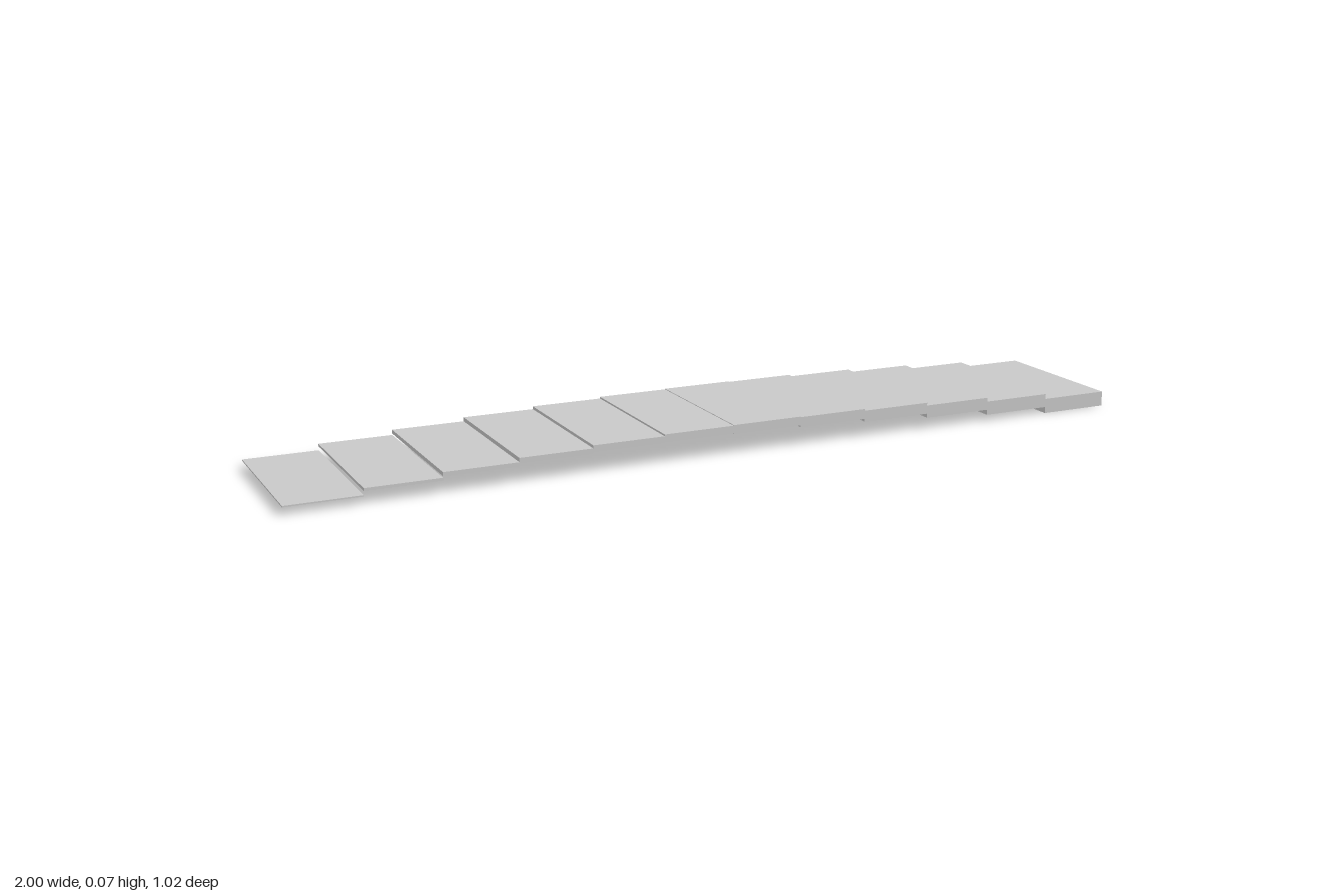
import * as THREE from 'three';

const COUNT = 12, LENGTH = 1.994, WIDTH = 0.362;

// Box with no underside: a deck with four thin skirts
function openBox(w, h, d) {
  const geo = new THREE.BoxGeometry(w, h, d);
  const index = Array.from(geo.index.array);
  index.splice(18, 6); // drop the -y face
  geo.setIndex(index);
  geo.clearGroups();
  return geo;
}

export function createModel() {
  const group = new THREE.Group();
  group.name = 'archedWalkway';
  const grey = new THREE.MeshStandardMaterial({ color: 0xc8c8c8, side: THREE.DoubleSide });
  grey.name = 'lightGrey';

  // Steps rise and fall along a shallow parabola and deepen toward +x
  const step = LENGTH / COUNT;
  for (let i = 1; i <= COUNT; i++) {
    const depth = 0.0029 * i;
    const top = 0.0681 - 0.00133 * (i - 7) ** 2;
    const mesh = new THREE.Mesh(openBox(step, depth, WIDTH), grey);
    mesh.name = 'step' + i;
    mesh.position.set((i - 0.5) * step - LENGTH / 2, top - depth / 2, 0);
    group.add(mesh);
  }

  // The whole walkway lies at an angle
  group.rotation.y = THREE.MathUtils.degToRad(20);
  const root = new THREE.Group();
  root.name = 'walkway';
  root.add(group);
  return root;
}
